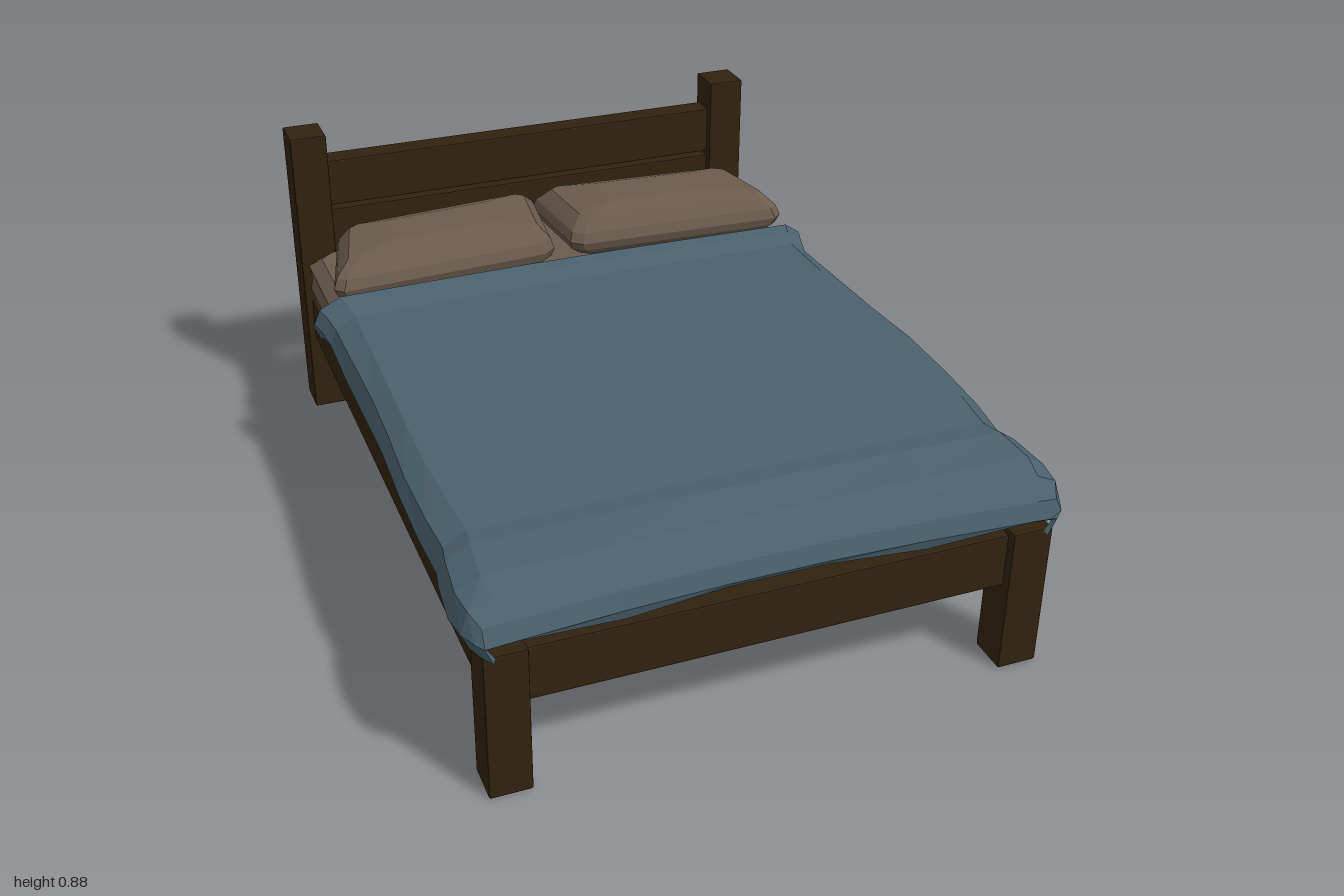
import * as THREE from 'three';
import { RoundedBoxGeometry } from 'three/addons/geometries/RoundedBoxGeometry.js';

export function createModel() {
  const bed = new THREE.Group();
  bed.name = 'bed';
  const material = (name, color, side = THREE.FrontSide) =>
    new THREE.MeshStandardMaterial({ name, color, side, flatShading: true });
  const wood = material('darkWood', 0x302210);
  const linen = material('taupeLinen', 0x6b5b4d);
  const blue = material('blueCloth', 0x4a616d, THREE.DoubleSide);

  const add = (name, geometry, mat) => {
    const mesh = new THREE.Mesh(geometry, mat);
    mesh.name = name;
    bed.add(mesh);
    return mesh;
  };

  // Timber with softened edges, given by its limits on each axis
  const beam = (name, [x0, x1], [y0, y1], [z0, z1]) => {
    const geo = new RoundedBoxGeometry(x1 - x0, y1 - y0, z1 - z0, 1, 0.005);
    add(name, geo, wood).position.set((x0 + x1) / 2, (y0 + y1) / 2, (z0 + z1) / 2);
  };

  // Posts and side rails, mirrored
  for (const [side, s] of [['left', 1], ['right', -1]]) {
    const span = (a, b) => (s > 0 ? [a, b] : [-b, -a]);
    beam(side + 'HeadPost', span(0.6, 0.705), [0, 0.88], [-1, -0.89]);
    beam(side + 'FootPost', span(0.6, 0.705), [0, 0.395], [0.86, 0.965]);
    beam(side + 'SideRail', span(0.635, 0.685), [0.235, 0.365], [-0.9, 0.87]);
    beam(side + 'SlatLedge', span(0.6, 0.64), [0.31, 0.35], [-0.9, 0.87]);
    // Bolt heads on the rail and the back of the post
    for (const y of [0.31, 0.57, 0.72]) {
      const bolt = add(side + 'Bolt', new THREE.CylinderGeometry(0.007, 0.007, 0.004, 8), wood);
      bolt.rotation.x = Math.PI / 2;
      bolt.position.set(s * 0.652, y, -1);
    }
  }

  // Cross rails and headboard planks
  beam('footRail', [-0.61, 0.61], [0.235, 0.38], [0.885, 0.94]);
  beam('headRail', [-0.61, 0.61], [0.235, 0.38], [-0.975, -0.92]);
  beam('lowerHeadboardPlank', [-0.61, 0.61], [0.5, 0.638], [-0.985, -0.915]);
  beam('upperHeadboardPlank', [-0.61, 0.61], [0.65, 0.79], [-0.985, -0.915]);

  // Centre support and slats
  beam('centreBeam', [-0.037, 0.037], [0.28, 0.365], [-0.93, 0.9]);
  beam('centreLeg', [-0.037, 0.037], [0, 0.29], [-0.155, -0.077]);
  for (let i = 0; i < 8; i++) {
    const z = 0.685 - i * 0.223;
    beam('slat', [-0.66, 0.66], [0.362, 0.386], [z - 0.056, z + 0.056]);
  }
  beam('footSlat', [-0.6, 0.6], [0.362, 0.386], [0.855, 0.89]);

  // Closed body from stacked rings of eight points; each ring is [y, scale],
  // the plan is a four-cornered outline with its corners cut
  const cushion = (corners, rings, cutX, cutZ) => {
    const a = 1 - cutX, b = 1 - cutZ;
    const unit = [[1, b], [1, -b], [a, -1], [-a, -1], [-1, -b], [-1, b], [-a, 1], [a, 1]];
    const [bl, br, fr, fl] = corners;
    const place = (u, v) => [0, 1].map((k) =>
      ((1 - u) * (1 - v) * bl[k] + (1 + u) * (1 - v) * br[k] +
       (1 + u) * (1 + v) * fr[k] + (1 - u) * (1 + v) * fl[k]) / 4);
    const pos = [], index = [], n = 8, last = rings.length - 1;
    for (const [y, su, sv] of rings) {
      for (const [u, v] of unit) {
        const [x, z] = place(u * su, v * sv);
        pos.push(x, y, z);
      }
    }
    const [cx, cz] = place(0, 0);
    pos.push(cx, rings[0][0], cz, cx, rings[last][0] + 0.004, cz);
    const bottom = n * (last + 1), top = bottom + 1;
    for (let i = 0; i < n; i++) {
      const j = (i + 1) % n;
      for (let r = 0; r < last; r++) {
        const p = r * n, q = p + n;
        index.push(p + i, p + j, q + i, p + j, q + j, q + i);
      }
      index.push(bottom, j, i, top, last * n + i, last * n + j);
    }
    return surface(pos, index);
  };

  const surface = (pos, index) => {
    const geo = new THREE.BufferGeometry();
    geo.setAttribute('position', new THREE.Float32BufferAttribute(pos, 3));
    geo.setIndex(index);
    geo.computeVertexNormals();
    return geo;
  };

  // Mattress
  add('mattress', cushion(
    [[-0.69, -0.895], [0.69, -0.895], [0.69, 0.915], [-0.69, 0.915]],
    [[0.385, 0.95, 0.965], [0.42, 1, 1], [0.455, 0.99, 0.995], [0.495, 1, 1], [0.525, 0.95, 0.965]],
    0.06, 0.04), linen);

  // Pillows, each lying a little askew
  const pillowRings = [[0.522, 0.86, 0.76], [0.55, 0.97, 0.95], [0.575, 1, 1],
    [0.605, 0.97, 0.94], [0.645, 0.86, 0.72], [0.661, 0.5, 0.42]];
  add('rightPillow', cushion(
    [[-0.61, -0.81], [0.01, -0.87], [-0.03, -0.53], [-0.69, -0.49]], pillowRings, 0.09, 0.15), linen);
  add('leftPillow', cushion(
    [[0, -0.88], [0.63, -0.83], [0.69, -0.52], [0.03, -0.55]], pillowRings, 0.09, 0.15), linen);

  // Blanket: half cross-section [x, y] from hem to middle, swept along z
  const half = [[0.725, 0.415], [0.745, 0.46], [0.727, 0.515], [0.675, 0.545], [0.4, 0.549], [0.13, 0.552]];
  const section = [...half.map(([x, y]) => [-x, y]), ...half.slice().reverse()];
  // Rows: [z, lift, ceiling, width]
  const rows = [
    [-0.485, -0.015, 1, 0.985], [-0.5, 0.006, 1, 1], [-0.48, 0.024, 1, 1], [-0.44, 0.018, 1, 0.985],
    [-0.39, 0.002, 1, 0.97], [-0.2, 0, 1, 0.975], [0, -0.002, 1, 0.98], [0.2, 0.004, 1, 0.99],
    [0.4, 0.003, 1, 0.995], [0.58, 0.006, 1, 0.985], [0.7, 0, 1, 0.97], [0.76, 0.006, 1, 0.985],
    [0.87, -0.002, 0.546, 1], [0.935, -0.01, 0.525, 0.99], [0.972, -0.015, 0.48, 0.965],
    [0.985, -0.025, 0.435, 0.94], [0.975, -0.03, 0.415, 0.93]];
  const pos = [], index = [], cols = section.length;
  rows.forEach(([z, lift, ceiling, width], r) => {
    section.forEach(([x, y], c) => {
      const edge = Math.min(c, cols - 1 - c);
      const front = r > 12 ? 1 : 0;
      const wave = edge < 2 ? 0.014 * Math.sin(z * 7.5 + Math.sign(x)) : 0;
      const bow = front * 0.035 * (1 - (x / 0.745) ** 2);
      const hemWave = r === rows.length - 1 ? 0.012 * Math.cos(x * 9) : 0;
      pos.push(
        x * width + (edge < 3 ? 0.008 * Math.sin(z * 5 + 1) : 0),
        Math.min(y + lift, ceiling) + wave * (1 - front) + hemWave,
        z - bow);
      if (r && c) {
        const d = r * cols + c, b = d - cols;
        index.push(b - 1, d - 1, b, b, d - 1, d);
      }
    });
  });
  add('blanket', surface(pos, index), blue);

  return bed;
}
